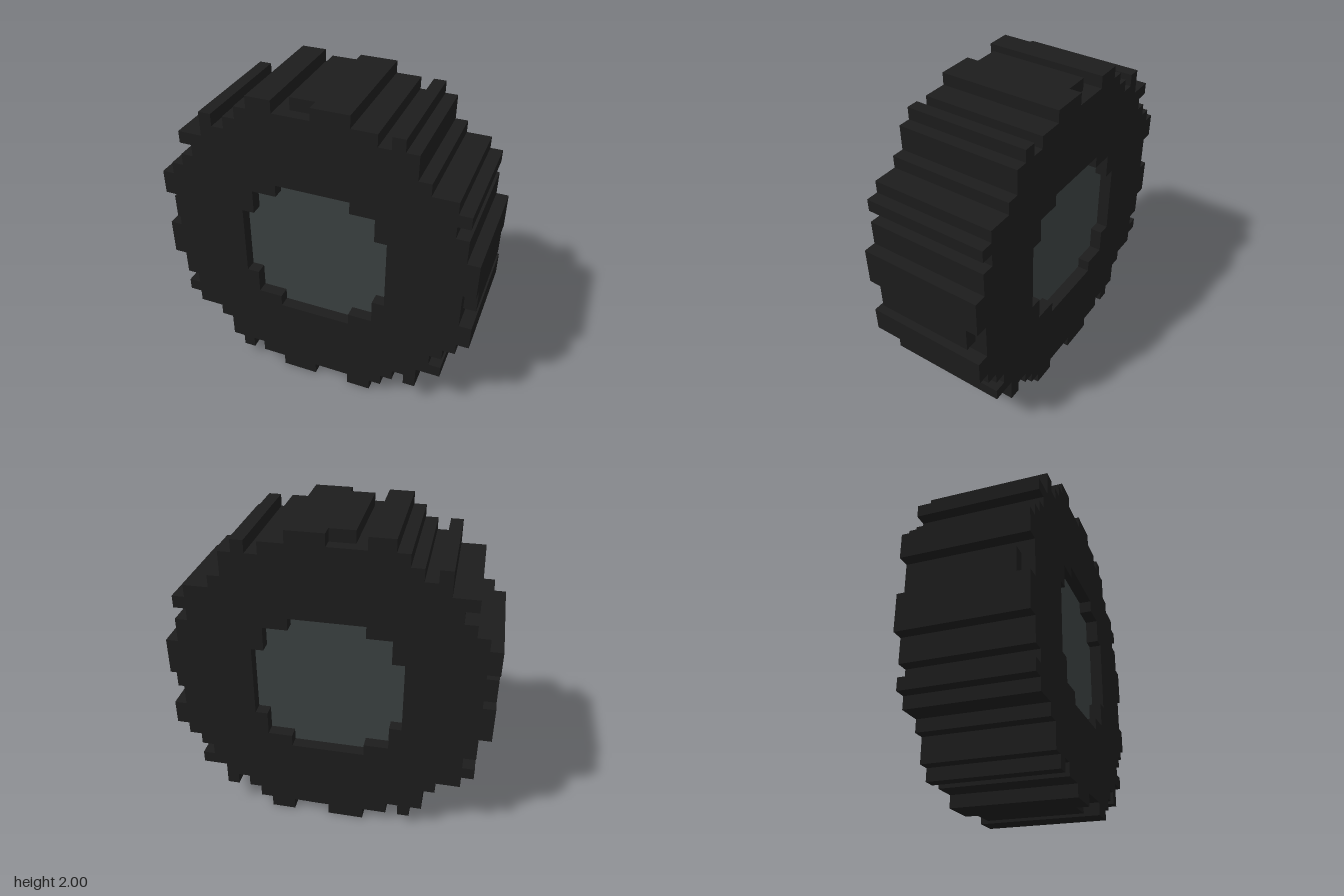
import * as THREE from 'three';

const U = 1 / 13; // one block; the wheel is 26 x 26 x 10 blocks
const N = 26;

// Block-grid corners (column, row from the top) to model space
const toPoint = ([c, r]) => new THREE.Vector2((c - N / 2) * U, (N - r) * U);

// Upper tread steps, from one diagonal of the wheel to the other
const TREAD = [
  [4, 4], [4, 2], [5, 2], [5, 3], [6, 3], [6, 2], [7, 2], [7, 1], [8, 1], [8, 0],
  [10, 0], [10, 1], [13, 1], [13, 0], [16, 0], [16, 1], [18, 1], [18, 2], [19, 2],
  [19, 1], [20, 1], [20, 2], [21, 2], [21, 4],
];
const TREAD_END = [22, 4];

// Quarter of the stepped round hub
const HUB = [[10, 7], [16, 7], [16, 8], [18, 8], [18, 10]];

// The tread repeats by mirroring in both diagonals
function tyreOutline() {
  const reversed = [...TREAD.slice(1), TREAD_END].reverse();
  return [
    ...TREAD,
    ...reversed.map(([c, r]) => [N - r, N - c]),
    ...TREAD.map(([c, r]) => [N - c, N - r]),
    ...reversed.map(([c, r]) => [r, c]),
  ].map(toPoint);
}

// The hub repeats by quarter turns
function hubOutline() {
  const points = [];
  let quarter = HUB;
  for (let i = 0; i < 4; i++) {
    points.push(...quarter);
    quarter = quarter.map(([c, r]) => [N - r, c]);
  }
  return points.map(toPoint);
}

function extrude(shape, blocks) {
  const geometry = new THREE.ExtrudeGeometry(shape, { depth: blocks * U, bevelEnabled: false });
  return geometry.translate(0, 0, (-blocks * U) / 2);
}

export function createModel() {
  const rubber = new THREE.MeshStandardMaterial({ color: 0x1c1c1c });
  rubber.name = 'black rubber';
  const metal = new THREE.MeshStandardMaterial({ color: 0x3a4040 });
  metal.name = 'grey metal';

  const wheel = new THREE.Group();
  wheel.name = 'wheel';
  const add = (name, geometry, material) => {
    const mesh = new THREE.Mesh(geometry, material);
    mesh.name = name;
    wheel.add(mesh);
    return mesh;
  };

  // Tyre with a stepped hole; the hole runs opposite to the outline so its walls face inward
  const tyreShape = new THREE.Shape(tyreOutline());
  tyreShape.holes.push(new THREE.Path(hubOutline().reverse()));
  add('tyre', extrude(tyreShape, 10), rubber);

  // Hub, set one block in on both faces
  add('hub', extrude(new THREE.Shape(hubOutline()), 8), metal);

  // Four shorter tread lugs, set one block in on both faces
  const lugs = [
    ['topLug', 12, 0.5, 2, 1],
    ['bottomLug', 14, 25.5, 2, 1],
    ['rightLug', 0.5, 12, 1, 2],
    ['leftLug', 25.5, 14, 1, 2],
  ];
  for (const [name, c, r, w, h] of lugs) {
    const p = toPoint([c, r]);
    add(name, new THREE.BoxGeometry(w * U, h * U, 8 * U), rubber).position.set(p.x, p.y, 0);
  }

  return wheel;
}
